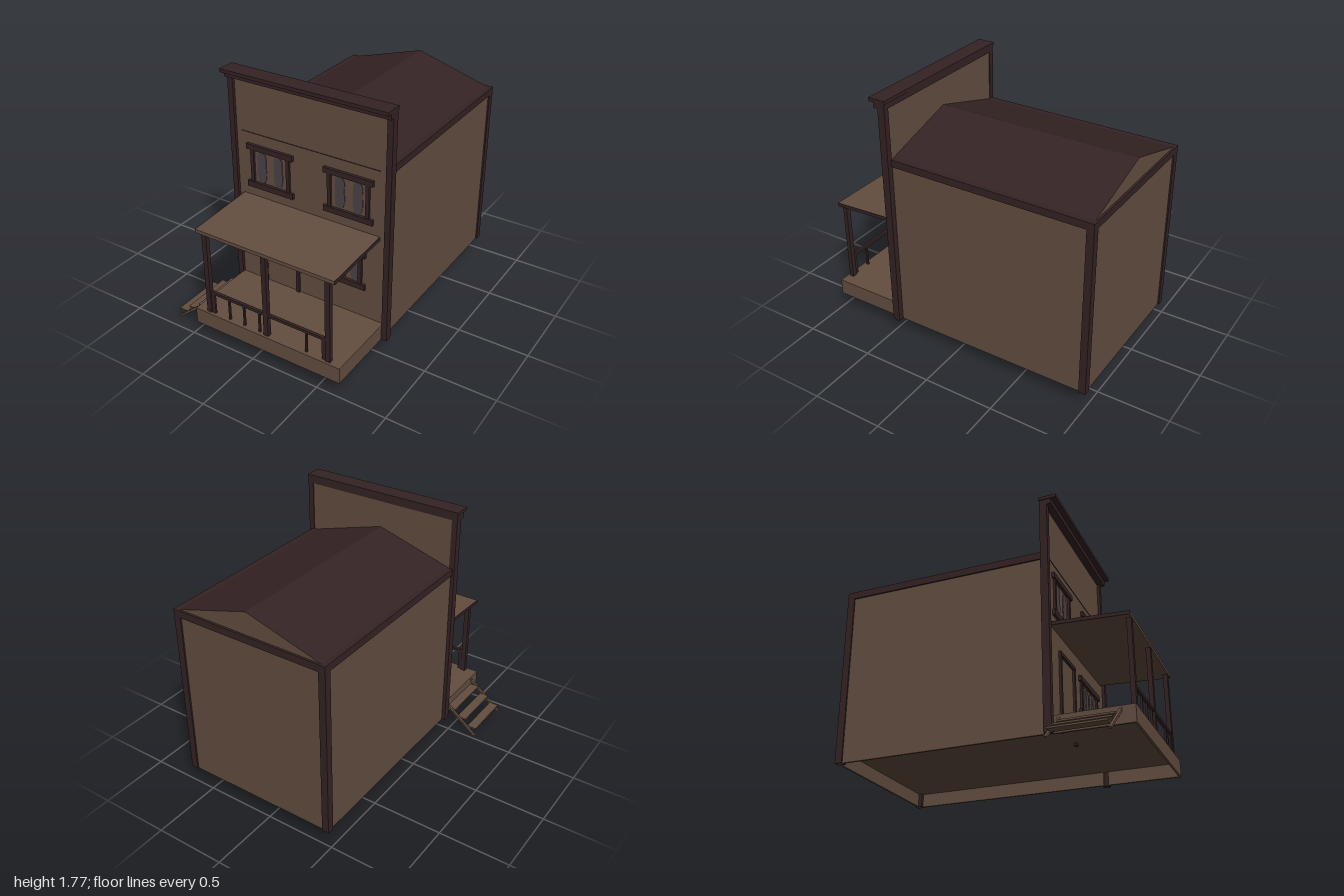
import * as THREE from 'three';

export function createModel() {
  const model = new THREE.Group();
  const mat = (name, color) => {
    const m = new THREE.MeshStandardMaterial({ color });
    m.name = name;
    return m;
  };
  const wood = mat('brown boards', 0x634e40);
  const trim = mat('dark trim', 0x352324);
  const glass = mat('grey glass', 0x4c444a);

  const add = (name, geometry, material, parent = model) => {
    const mesh = new THREE.Mesh(geometry, material);
    mesh.name = name;
    parent.add(mesh);
    return mesh;
  };
  // box given by its limits on each axis
  const box = (name, material, x0, x1, y0, y1, z0, z1, parent = model) => {
    const mesh = add(name, new THREE.BoxGeometry(x1 - x0, y1 - y0, z1 - z0), material, parent);
    mesh.position.set((x0 + x1) / 2, (y0 + y1) / 2, (z0 + z1) / 2);
    return mesh;
  };
  // cross-section in x and y, drawn out along z
  const prism = (name, points, z0, z1, material, parent = model) => {
    const shape = new THREE.Shape(points.map(([x, y]) => new THREE.Vector2(x, y)));
    const geometry = new THREE.ExtrudeGeometry(shape, { depth: z1 - z0, bevelEnabled: false });
    geometry.translate(0, 0, z0);
    return add(name, geometry, material, parent);
  };

  // floor running through house and porch, open underneath
  box('floor', wood, -0.455, 0.67, 0.205, 0.225, -0.985, 0.995);
  box('porchSkirtFront', wood, -0.46, 0.67, 0.11, 0.225, 0.985, 1);
  box('porchSkirtRight', wood, -0.46, -0.445, 0.11, 0.225, 0.495, 0.985);
  box('porchSkirtLeft', wood, 0.655, 0.67, 0.11, 0.225, 0.495, 0.985);

  // house walls
  box('wallRight', wood, -0.47, -0.455, 0.11, 1.33, -0.99, 0.46);
  box('wallLeft', wood, 0.655, 0.67, 0.11, 1.33, -0.99, 0.46);
  box('wallBack', wood, -0.455, 0.655, 0.11, 1.33, -0.99, -0.975);
  for (const [x0, x1] of [[-0.48, -0.43], [0.63, 0.68]]) {
    box('backCornerPost', trim, x0, x1, 0.11, 1.36, -1, -0.95);
    box('eaveTrim', trim, x0, x1, 1.31, 1.36, -0.95, 0.445);
  }
  box('backTrim', trim, -0.43, 0.63, 1.31, 1.36, -1, -0.95);

  // gable roof with boarded ends
  prism('roof', [[-0.46, 1.355], [0.66, 1.355], [0.1, 1.52]], -0.985, 0.45, [wood, trim]);

  // false front
  box('falseFront', wood, -0.46, 0.675, 0.205, 1.72, 0.449, 0.475);
  for (const [x0, x1] of [[-0.495, -0.455], [0.67, 0.71]]) {
    box('frontCornerPost', trim, x0, x1, 0.11, 1.71, 0.443, 0.495);
  }
  box('corniceLower', trim, -0.495, 0.71, 1.71, 1.748, 0.443, 0.525);
  box('corniceUpper', trim, -0.5, 0.712, 1.748, 1.772, 0.438, 0.56);
  box('frontSeam', trim, -0.415, 0.625, 1.334, 1.339, 0.474, 0.478);

  // window: header, sill, two jambs and rippled panes between drapes
  const windowUnit = (x0, x1, y0, y1, panes, waist) => {
    const group = new THREE.Group();
    group.name = 'window';
    model.add(group);
    box('header', trim, x0, x1, y1, y1 + 0.038, 0.47, 0.495, group);
    box('sill', trim, x0, x1, y0 - 0.04, y0, 0.47, 0.495, group);
    box('jambRight', trim, x0 + 0.027, x0 + 0.053, y0, y1, 0.47, 0.49, group);
    box('jambLeft', trim, x1 - 0.053, x1 - 0.027, y0, y1, 0.47, 0.49, group);
    for (const [a, b] of panes) {
      const right = [], left = [], n = 14, top = y1 - 0.008;
      for (let i = 0; i <= n; i++) {
        const t = i / n;
        const round = Math.pow(1 - Math.pow(Math.abs(2 * t - 1), 6), 0.5);
        const ripple = 1 - waist * (0.5 + 0.5 * Math.cos((t - 0.6) * Math.PI * 4));
        const w = ((b - a) / 2) * Math.max(0.35, round) * ripple;
        right.push([(a + b) / 2 + w, y0 + (top - y0) * t]);
        left.unshift([(a + b) / 2 - w, y0 + (top - y0) * t]);
      }
      prism('pane', [...right, ...left], 0.472, 0.479, glass, group);
    }
  };
  windowUnit(-0.372, -0.012, 0.988, 1.222, [[-0.3, -0.225], [-0.168, -0.098]], 0.12);
  windowUnit(0.222, 0.582, 0.988, 1.222, [[0.3, 0.374], [0.431, 0.505]], 0.12);
  windowUnit(0.12, 0.535, 0.484, 0.688,
    [[0.175, 0.238], [0.262, 0.318], [0.332, 0.398], [0.415, 0.484]], 0.3);

  // door frame, set through the floor
  box('doorJamb', trim, -0.273, -0.248, 0.185, 0.71, 0.47, 0.49);
  box('doorJamb', trim, -0.005, 0.02, 0.185, 0.71, 0.47, 0.49);
  box('doorHeader', trim, -0.273, 0.02, 0.71, 0.735, 0.47, 0.492);

  // porch posts and railing
  for (const x of [-0.357, 0.105, 0.573]) {
    box('porchPost', trim, x - 0.018, x + 0.018, 0.165, 0.838, 0.953, 0.984);
  }
  box('railing', trim, -0.375, 0.59, 0.375, 0.395, 0.96, 0.98);
  for (const [x, w] of [[-0.325, 0.03], [-0.193, 0.013], [-0.073, 0.013], [0.048, 0.013], [0.41, 0.013], [0.542, 0.03]]) {
    box('baluster', trim, x - w / 2, x + w / 2, 0.225, 0.376, 0.963, 0.977);
  }

  // sloping porch roof, its section drawn out across the front
  const slope = (name, x0, x1, material) => {
    const mesh = prism(name, [[-0.99, 0.826], [-0.475, 0.851], [-0.475, 0.876], [-0.99, 0.851]], 0, x1 - x0, material);
    mesh.rotation.y = Math.PI / 2;
    mesh.position.x = x0;
  };
  slope('porchRoof', -0.415, 0.625, wood);
  slope('porchRoofEnd', -0.42, -0.415, trim);
  slope('porchRoofEnd', 0.625, 0.63, trim);

  // side steps: two stringers and three treads
  for (const z of [0.53, 0.908]) {
    prism('stringer', [[-0.71, 0.006], [-0.697, 0], [-0.455, 0.19], [-0.455, 0.213]], z - 0.008, z + 0.008, wood);
  }
  for (let i = 0; i < 3; i++) {
    const x = -0.706 + i * 0.088, y = 0.05 + i * 0.052;
    box('tread', wood, x, x + 0.068, y, y + 0.012, 0.538, 0.9);
  }
  return model;
}
